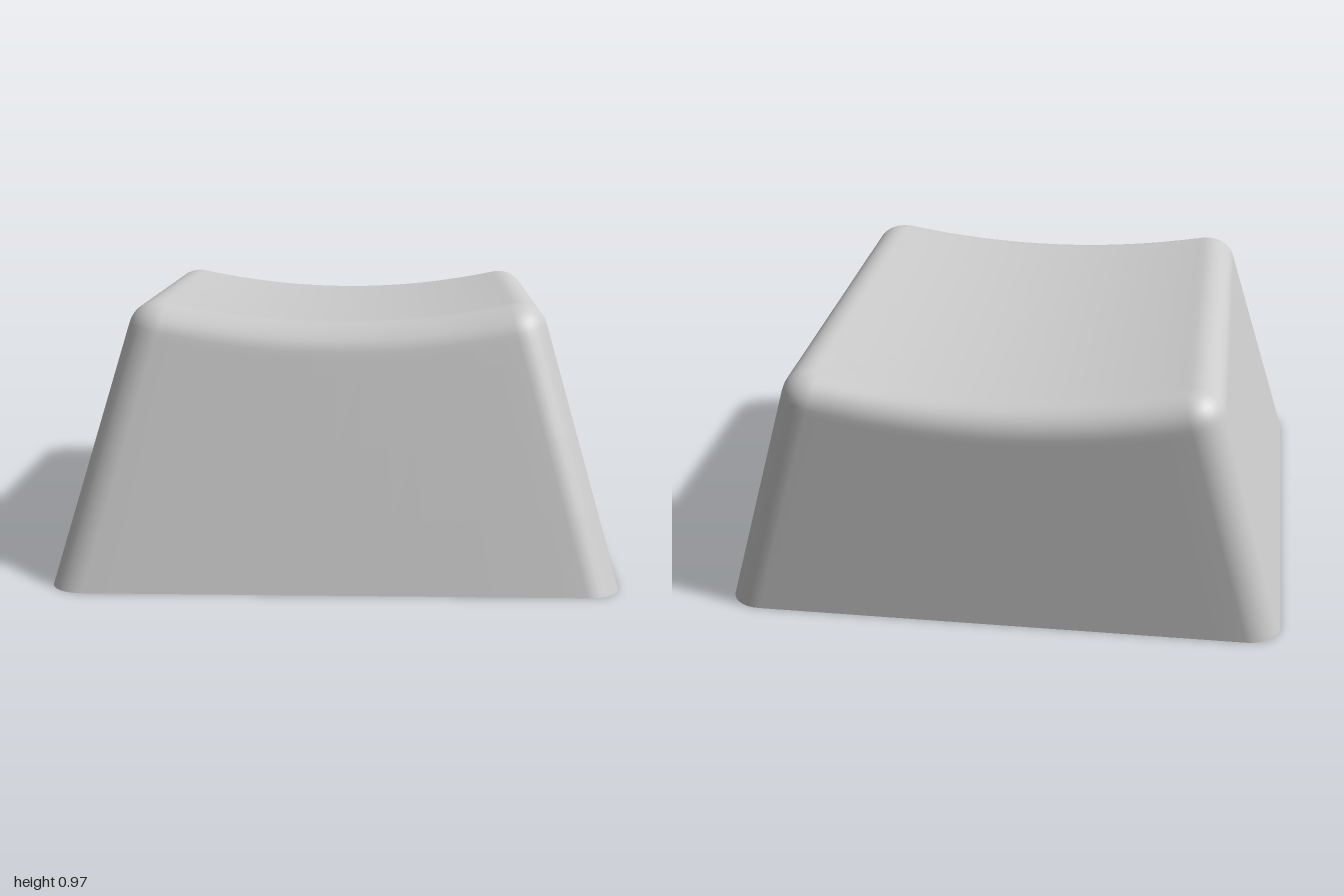
import * as THREE from 'three';
import { toCreasedNormals } from 'three/addons/utils/BufferGeometryUtils.js';

const ARC = 8, EDGE = 16, SIDE = ARC + EDGE, COUNT = SIDE * 4;
const CORNER = 0.12, FILLET = 0.1, WALL = 0.17, CEILING = 0.57;

// Dished, slightly sloping top surface
const topY = (x, z) => 0.875 + 0.047 * z + 0.165 * x * x;

// Point i on the rounded-rectangle section at height y, moved in by inset
function sectionPoint(i, y, inset) {
  const r = Math.max(CORNER - inset, 0.02);
  const halfX = 1 - 0.275 * y - inset - r;
  const front = 1 - 0.33 * y - inset - r;
  const back = -1 + inset + r;
  const corners = [[halfX, front], [-halfX, front], [-halfX, back], [halfX, back]];
  const onCorner = (q, k) => {
    const a = (q + k / ARC) * Math.PI / 2;
    return [corners[q][0] + r * Math.cos(a), corners[q][1] + r * Math.sin(a)];
  };
  const q = Math.floor(i / SIDE), k = i % SIDE;
  if (k <= ARC) return onCorner(q, k);
  const a = onCorner(q, ARC), b = onCorner((q + 1) % 4, 0), t = (k - ARC) / EDGE;
  return [a[0] + (b[0] - a[0]) * t, a[1] + (b[1] - a[1]) * t];
}

const makeRing = (fn) => Array.from({ length: COUNT }, (_, i) => fn(i));

function levelRing(y, inset) {
  return makeRing((i) => {
    const [x, z] = sectionPoint(i, y, inset);
    return [x, y, z];
  });
}

// Ring on the rounded top edge; angle 0 meets the wall, 90 degrees meets the top
function filletRing(angle) {
  const inset = FILLET * (1 - Math.cos(angle));
  return makeRing((i) => {
    let y = 0.8, p;
    for (let n = 0; n < 8; n++) {
      p = sectionPoint(i, y, inset);
      y = topY(p[0], p[1]) - FILLET * (1 - Math.sin(angle));
    }
    return [p[0], y, p[1]];
  });
}

// Skin a list of rings
function loft(rings) {
  const index = [];
  for (let r = 0; r < rings.length - 1; r++) {
    for (let i = 0; i < COUNT; i++) {
      const j = (i + 1) % COUNT;
      const a = r * COUNT + i, b = r * COUNT + j, c = a + COUNT, d = b + COUNT;
      index.push(a, c, b, b, c, d);
    }
  }
  const geo = new THREE.BufferGeometry();
  geo.setAttribute('position', new THREE.Float32BufferAttribute(rings.flat(2), 3));
  geo.setIndex(index);
  geo.computeVertexNormals();
  return geo;
}

function outerGeometry() {
  const rings = [];
  const wallTop = filletRing(0);
  for (const t of [0, 0.3, 0.6, 0.9, 0.97]) {
    rings.push(makeRing((i) => {
      const y = wallTop[i][1] * t;
      const [x, z] = sectionPoint(i, y, 0);
      return [x, y, z];
    }));
  }
  for (let k = 0; k <= 8; k++) rings.push(filletRing(k / 8 * Math.PI / 2));
  const rim = rings[rings.length - 1], midZ = -0.17;
  for (const s of [0.97, 0.9, 0.8, 0.7, 0.6, 0.5, 0.4, 0.3, 0.2, 0.1, 0]) {
    rings.push(rim.map(([x, , z]) => {
      const px = x * s, pz = midZ + (z - midZ) * s;
      return [px, topY(px, pz), pz];
    }));
  }
  return loft(rings);
}

// Round post with a cross-shaped socket
function stemGeometry(bottom) {
  const L = 0.23, w = 0.075;
  const shape = new THREE.Shape().absarc(0, 0, 0.305, 0, Math.PI * 2, false);
  const cross = [[L, w], [w, w], [w, L], [-w, L], [-w, w], [-L, w],
    [-L, -w], [-w, -w], [-w, -L], [w, -L], [w, -w], [L, -w]];
  shape.holes.push(new THREE.Path(cross.map(([x, y]) => new THREE.Vector2(x, y))));
  const geo = new THREE.ExtrudeGeometry(shape, {
    depth: CEILING - bottom, bevelEnabled: false, curveSegments: 32,
  });
  geo.rotateX(-Math.PI / 2).translate(0, bottom, 0);
  return toCreasedNormals(geo, 0.5);
}

export function createModel() {
  const group = new THREE.Group();
  const material = new THREE.MeshStandardMaterial({ color: 0xcccccc });
  const add = (name, geo, mat = material) => {
    const mesh = new THREE.Mesh(geo, mat);
    mesh.name = name;
    group.add(mesh);
  };

  // Hollow cap
  add('outerShell', outerGeometry());
  add('bottomRim', loft([levelRing(0, WALL), levelRing(0, 0)]));
  add('innerWalls', loft([levelRing(CEILING, WALL), levelRing(CEILING / 2, WALL), levelRing(0, WALL)]));
  const edge = levelRing(CEILING, WALL);
  add('innerCeiling', loft([edge.map(() => [0, CEILING, 0]), edge]));

  // Mounting stem and its flared support
  add('stem', stemGeometry(0.11));
  const flare = new THREE.SplineCurve([[0.303, 0.4], [0.33, 0.435], [0.4, 0.468], [0.52, 0.492],
    [0.66, 0.515], [0.78, 0.56]].map(([r, y]) => new THREE.Vector2(r, y)));
  const flareMaterial = material.clone();
  flareMaterial.side = THREE.DoubleSide;
  add('stemFlare', new THREE.LatheGeometry(flare.getPoints(16), 64), flareMaterial);
  return group;
}
